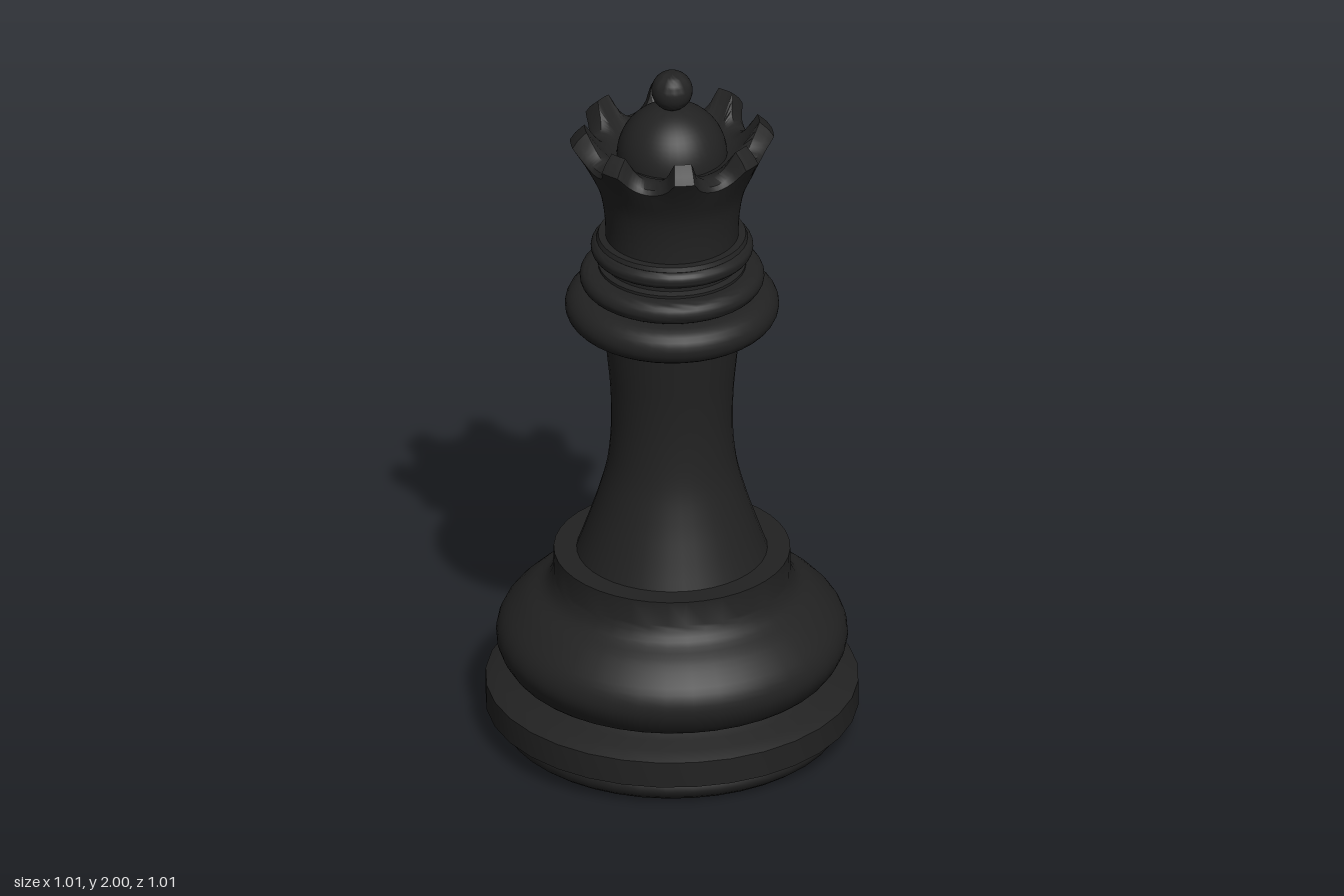
import * as THREE from 'three';
import { toCreasedNormals } from 'three/addons/utils/BufferGeometryUtils.js';

const material = new THREE.MeshStandardMaterial({ color: 0x222222 });
const vectors = (pts) => pts.map(([r, y]) => new THREE.Vector2(r, y));

function addMesh(group, name, geometry, crease = 0.7) {
  const mesh = new THREE.Mesh(toCreasedNormals(geometry, crease), material);
  mesh.name = name;
  group.add(mesh);
  return mesh;
}

// Turned part from [radius, height] pairs, listed bottom to top
function addTurned(group, name, pts, segments = 40) {
  return addMesh(group, name, new THREE.LatheGeometry(vectors(pts), segments));
}

// Smooth curve through a few profile points
function smooth(pts, n) {
  return new THREE.SplineCurve(vectors(pts)).getPoints(n).map((p) => [p.x, p.y]);
}

// Rounded collar: half ellipse profile reaching from the core to the outer radius
function addCollar(group, name, y, outer, halfHeight, depth) {
  const pts = [[0.15, y - halfHeight]];
  for (let i = 0; i <= 12; i++) {
    const a = -Math.PI / 2 + (i / 12) * Math.PI;
    pts.push([outer - depth + depth * Math.cos(a), y + halfHeight * Math.sin(a)]);
  }
  pts.push([0.15, y + halfHeight]);
  addTurned(group, name, pts);
}

// Crown with eight points: blends a notch profile into a point profile around the rim
function crownGeometry() {
  const outside = smooth([[0.18, 1.49], [0.182, 1.56], [0.195, 1.64], [0.22, 1.7]], 8);
  const notch = [...outside, [0.231, 1.725], [0.24, 1.745], [0.232, 1.758], [0.205, 1.768],
    [0.18, 1.766], [0.165, 1.757], [0.14, 1.75], [0, 1.75]];
  const point = [...outside, [0.245, 1.747], [0.276, 1.797], [0.262, 1.818], [0.237, 1.842],
    [0.205, 1.795], [0.175, 1.762], [0.14, 1.75], [0, 1.75]];
  const segments = 8 * 24;
  const geometry = new THREE.LatheGeometry(vectors(notch), segments);
  const position = geometry.attributes.position;
  for (let i = 0; i <= segments; i++) {
    const angle = (i / segments) * Math.PI * 2;
    // Angle from the nearest point's middle, 0 to 22.5 degrees
    const step = Math.min(i % 24, 24 - (i % 24)) * 1.875;
    const u = Math.min(1, (22.5 - step) / 15.5);
    const t = 1 - Math.sqrt(1 - u * u);
    notch.forEach(([r0, y0], j) => {
      const r = THREE.MathUtils.lerp(r0, point[j][0], t);
      const y = THREE.MathUtils.lerp(y0, point[j][1], t);
      position.setXYZ(i * notch.length + j, r * Math.sin(angle), y, r * Math.cos(angle));
    });
  }
  return geometry;
}

export function createModel() {
  const group = new THREE.Group();
  group.name = 'chessQueen';

  // Foot ring with a shallow dished underside
  addTurned(group, 'foot', [
    [0, 0.075], [0.2, 0.065], [0.37, 0.045], [0.38, 0.02], [0.4, 0.004], [0.42, 0],
    [0.44, 0.003], [0.457, 0.016], [0.466, 0.035], [0.464, 0.055], [0.45, 0.072], [0.4, 0.075],
  ]);

  // Wide plinth disc
  addTurned(group, 'plinth', [
    [0.4, 0.07], [0.505, 0.072], [0.505, 0.147], [0.47, 0.165], [0.43, 0.175], [0.4, 0.19],
  ], 32);

  // Bulging base and its upright collar
  const bulge = smooth([
    [0.405, 0.185], [0.445, 0.21], [0.475, 0.27], [0.462, 0.33], [0.405, 0.39],
    [0.345, 0.43], [0.322, 0.47],
  ], 24);
  addTurned(group, 'base', [[0.38, 0.18], ...bulge, [0.32, 0.54], [0.2, 0.54]]);

  // Waisted stem
  addTurned(group, 'stem', smooth([
    [0.26, 0.535], [0.233, 0.61], [0.2, 0.71], [0.175, 0.81], [0.165, 0.92],
    [0.167, 1.03], [0.177, 1.14], [0.187, 1.24],
  ], 28));

  // Neck and its three collars
  addTurned(group, 'neck', [[0.185, 1.22], [0.185, 1.5]]);
  addCollar(group, 'lowerCollar', 1.29, 0.29, 0.053, 0.06);
  addCollar(group, 'middleCollar', 1.378, 0.25, 0.032, 0.035);
  addTurned(group, 'collarStep', [[0.2, 1.4], [0.2, 1.418], [0.17, 1.43]]);
  addCollar(group, 'upperCollar', 1.468, 0.22, 0.025, 0.025);
  addTurned(group, 'crownRim', [[0.19, 1.48], [0.205, 1.493], [0.2, 1.505], [0.17, 1.506]]);

  // Crown, dome and finial
  addMesh(group, 'crown', crownGeometry(), 0.6);
  const dome = new THREE.SphereGeometry(0.15, 40, 14, 0, Math.PI * 2, 0, Math.PI / 2);
  dome.translate(0, 1.747, 0);
  addMesh(group, 'dome', dome);
  const ball = new THREE.SphereGeometry(0.056, 32, 20);
  ball.translate(0, 1.944, 0);
  addMesh(group, 'finial', ball);

  return group;
}
